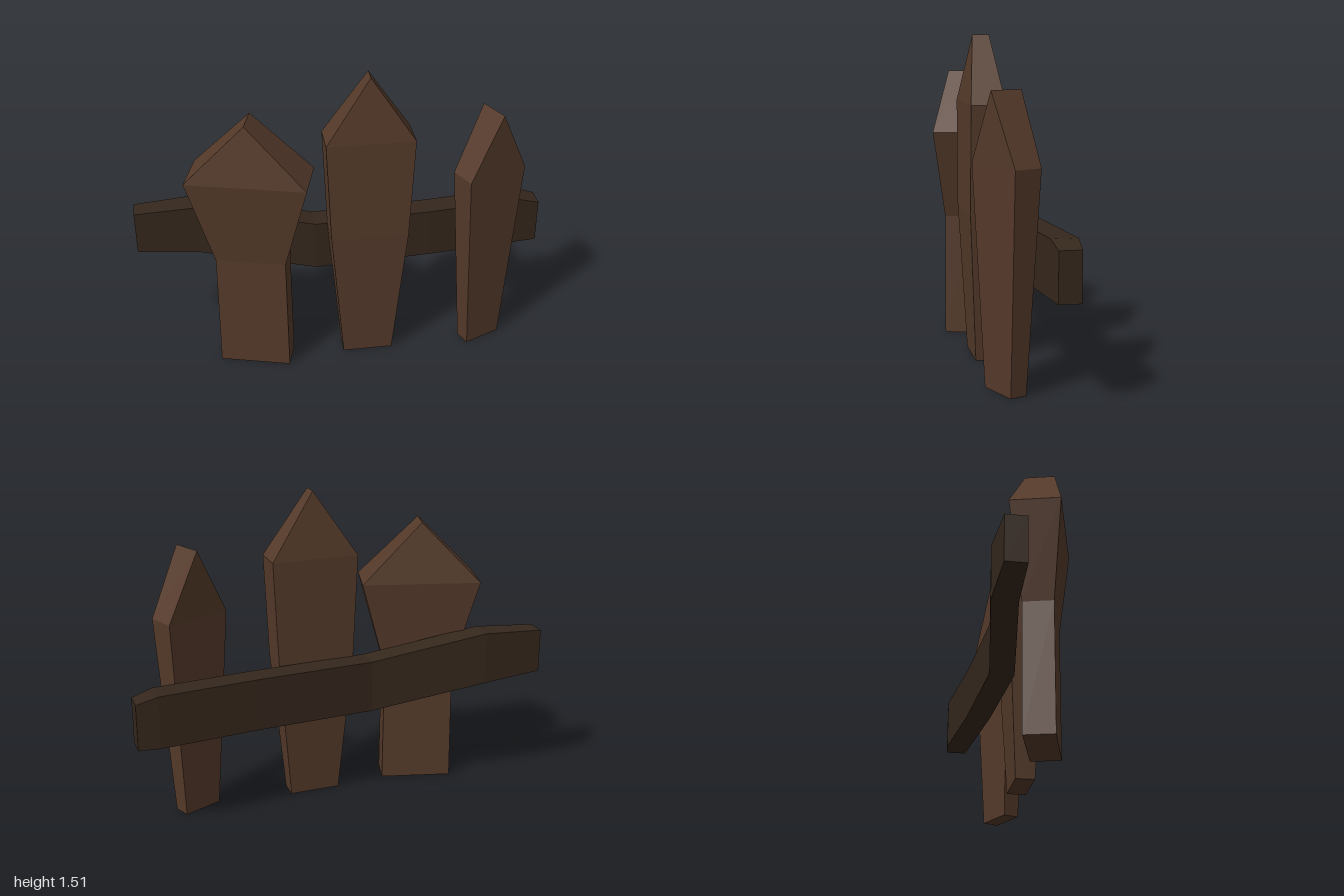
import * as THREE from 'three';

const picketWood = new THREE.MeshStandardMaterial({ color: 0x553a2a, flatShading: true });
const railWood = new THREE.MeshStandardMaterial({ color: 0x35271c, flatShading: true });

// Box segmented along one axis; place(row, v) moves each vertex of a cross-section.
function shapedBox(axis, rows, place) {
  const seg = { x: 1, y: 1, z: 1, [axis]: rows - 1 };
  const geo = new THREE.BoxGeometry(1, 1, 1, seg.x, seg.y, seg.z);
  const pos = geo.attributes.position;
  const v = new THREE.Vector3();
  for (let i = 0; i < pos.count; i++) {
    v.fromBufferAttribute(pos, i);
    place(Math.round((v[axis] + 0.5) * (rows - 1)), v);
    pos.setXYZ(i, v.x, v.y, v.z);
  }
  // Drop the triangles that collapse at a pointed end.
  const kept = [];
  const tri = new THREE.Triangle();
  const index = geo.index.array;
  for (let i = 0; i < index.length; i += 3) {
    tri.setFromAttributeAndIndices(pos, index[i], index[i + 1], index[i + 2]);
    if (tri.getArea() > 1e-7) kept.push(index[i], index[i + 1], index[i + 2]);
  }
  geo.setIndex(kept);
  geo.clearGroups();
  const flat = geo.toNonIndexed();
  flat.computeVertexNormals();
  return flat;
}

// Pickets: sections are [height, width, depth], from the foot to the ridge.
const pickets = [
  { name: 'rightPicket', x: -0.45, z: 0.034, turn: -0.267,
    sections: [[0, 0.345, 0.138], [0.6, 0.335, 0.138], [1.035, 0.568, 0.228], [1.325, 0, 0.138]] },
  { name: 'middlePicket', x: 0.103, z: 0.036, turn: 0,
    sections: [[0, 0.245, 0.09], [0.7, 0.37, 0.16], [1.2, 0.415, 0.16], [1.51, 0, 0.078]] },
  { name: 'leftPicket', x: 0.687, z: 0.033, turn: 0.41,
    sections: [[0, 0.195, 0.08], [0.975, 0.32, 0.132], [1.29, 0, 0.154]] },
];

// Rail: sections are [x, bottom, top, back, front].
const railSections = [
  [-1, 0.567, 0.78, -0.217, -0.12],
  [-0.7, 0.545, 0.8, -0.226, -0.107],
  [-0.14, 0.45, 0.7, -0.15, -0.033],
  [0.43, 0.45, 0.7, -0.18, -0.063],
  [0.9, 0.45, 0.7, -0.226, -0.108],
  [1, 0.45, 0.67, -0.217, -0.118],
];

export function createModel() {
  const fence = new THREE.Group();
  fence.name = 'fence';

  for (const { name, x, z, turn, sections } of pickets) {
    const geo = shapedBox('y', sections.length, (row, v) => {
      const [y, w, d] = sections[row];
      v.set(v.x * w, y, v.z * d);
    });
    const picket = new THREE.Mesh(geo, picketWood);
    picket.name = name;
    picket.position.set(x, 0, z);
    picket.rotation.y = turn;
    fence.add(picket);
  }

  // Crooked rail behind the pickets
  const railGeo = shapedBox('x', railSections.length, (row, v) => {
    const [x, bottom, top, back, front] = railSections[row];
    v.set(x, v.y > 0 ? top : bottom, v.z > 0 ? front : back);
  });
  const rail = new THREE.Mesh(railGeo, railWood);
  rail.name = 'rail';
  fence.add(rail);

  return fence;
}
